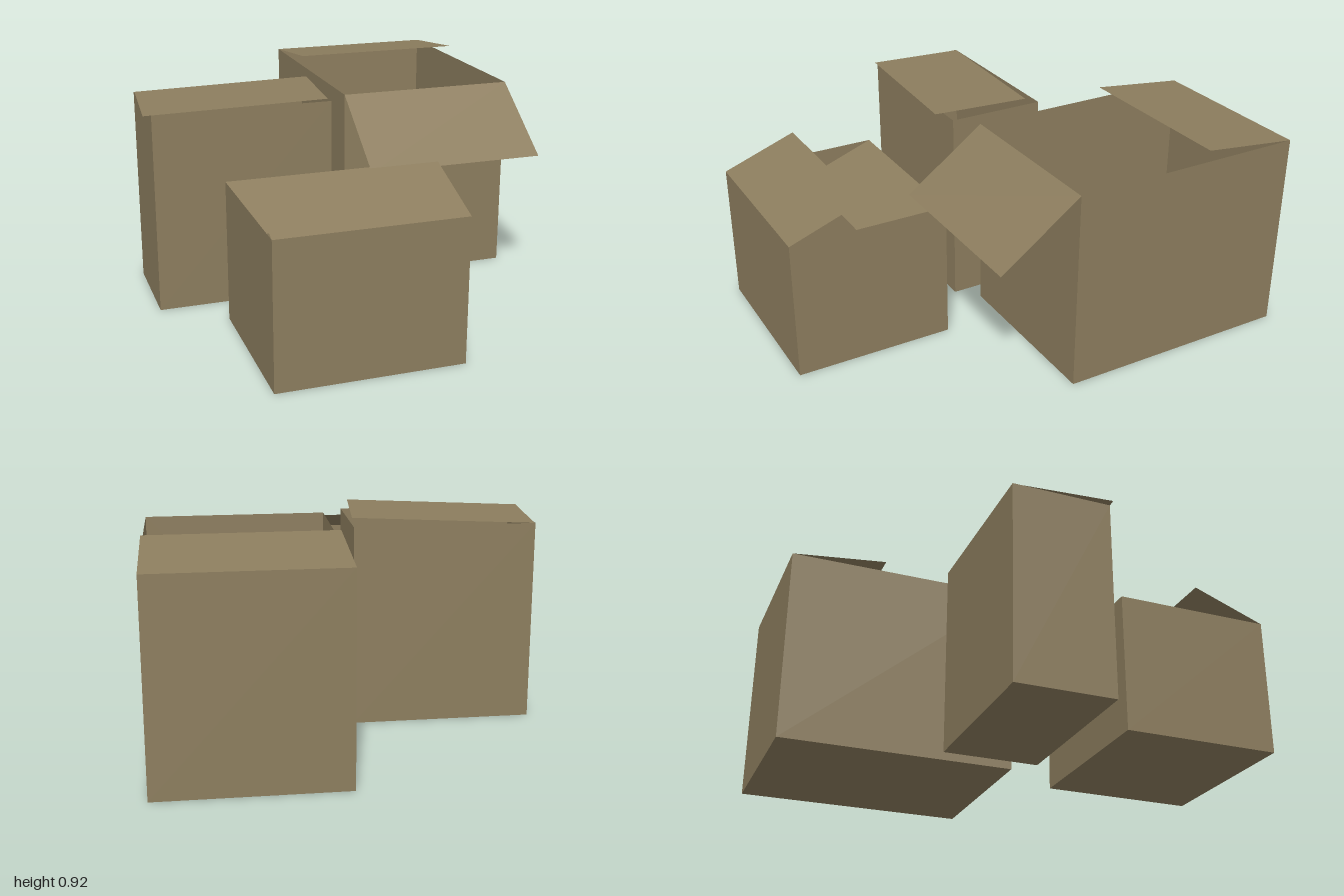
import * as THREE from 'three';

const cardboard = new THREE.MeshStandardMaterial({ color: 0x8c7d5e, side: THREE.DoubleSide });
cardboard.name = 'cardboard';

// Thin-walled carton without a top, standing on y = 0
function openBox(name, [x0, x1], [z0, z1], height) {
  const geo = new THREE.BoxGeometry(x1 - x0, height, z1 - z0);
  const index = Array.from(geo.index.array);
  index.splice(12, 6); // drop the top face
  geo.setIndex(index);
  geo.clearGroups();
  geo.translate((x0 + x1) / 2, height / 2, (z0 + z1) / 2);
  const mesh = new THREE.Mesh(geo, cardboard);
  mesh.name = name;
  return mesh;
}

// Paper-thin flap reaching out from its hinge: yaw 0 points to +z, pitch lifts the free edge
function flap(name, width, length, hinge, yaw, pitch) {
  const geo = new THREE.PlaneGeometry(width, length);
  geo.rotateX(-Math.PI / 2);
  geo.translate(0, 0, length / 2);
  const mesh = new THREE.Mesh(geo, cardboard);
  mesh.name = name;
  mesh.position.set(...hinge);
  mesh.rotation.set(
    -THREE.MathUtils.degToRad(pitch), THREE.MathUtils.degToRad(yaw), 0, 'YXZ');
  return mesh;
}

function carton(name, ...parts) {
  const group = new THREE.Group();
  group.name = name;
  group.add(...parts);
  return group;
}

export function createModel() {
  const model = new THREE.Group();
  model.name = 'cardboardBoxes';
  const width = 0.78;

  // Large box: front flap hangs outward, back flap leans over the opening
  model.add(carton('largeBox',
    openBox('largeBoxWalls', [0.062, 0.842], [-1, 0.042], 0.87),
    flap('largeBoxFrontFlap', width, 0.432, [0.452, 0.87, 0.042], 0, -36),
    flap('largeBoxBackFlap', width, 0.43, [0.452, 0.87, -1], 0, 6.5)));

  // Narrow box: one long lid, slightly raised and twisted
  model.add(carton('narrowBox',
    openBox('narrowBoxWalls', [-0.808, -0.028], [-0.305, 0.127], 0.87),
    flap('narrowBoxLid', 0.432, width, [-0.8235, 0.87, -0.09], 85, 2.1)));

  // Low box: front flap raised, back flap pushed inside
  model.add(carton('lowBox',
    openBox('lowBoxWalls', [-0.546, 0.234], [0.304, 1], 0.613),
    flap('lowBoxFrontFlap', width, 0.346, [-0.156, 0.613, 1], 180, 20.3),
    flap('lowBoxBackFlap', width, 0.346, [-0.156, 0.613, 0.304], 0, -20.3)));

  return model;
}
